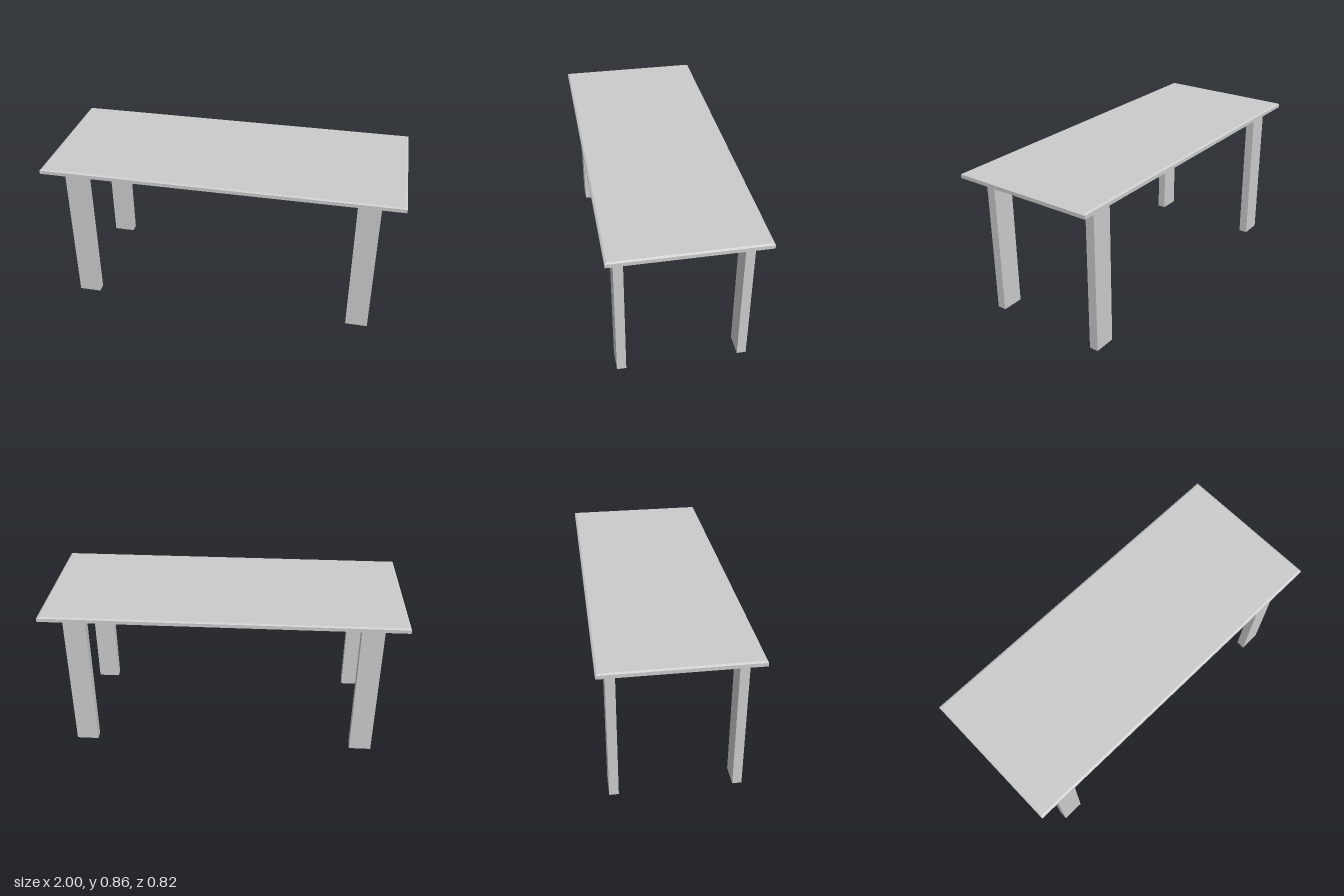
import * as THREE from 'three';

const LENGTH = 2, DEPTH = 0.82, HEIGHT = 0.858;
const TOP_BOTTOM = 0.832, CHAMFER_Y = 0.852, CHAMFER = 0.01;

// Slab whose upper edge is chamfered all round
function chamferedSlab() {
  const thickness = HEIGHT - TOP_BOTTOM;
  const geometry = new THREE.BoxGeometry(LENGTH, thickness, DEPTH, 1, 2, 1);
  const p = geometry.attributes.position;
  for (let i = 0; i < p.count; i++) {
    const y = p.getY(i);
    if (Math.abs(y) < 1e-5) {
      p.setY(i, CHAMFER_Y - TOP_BOTTOM - thickness / 2);
    } else if (y > 0) {
      p.setX(i, p.getX(i) - Math.sign(p.getX(i)) * CHAMFER);
      p.setZ(i, p.getZ(i) - Math.sign(p.getZ(i)) * CHAMFER);
    }
  }
  const flat = geometry.toNonIndexed();
  flat.computeVertexNormals();
  return flat;
}

export function createModel() {
  const table = new THREE.Group();
  table.name = 'table';
  const material = new THREE.MeshStandardMaterial({ color: 0xcccccc, flatShading: true });

  // Table top
  const top = new THREE.Mesh(chamferedSlab(), material);
  top.name = 'tableTop';
  top.position.y = (HEIGHT + TOP_BOTTOM) / 2;
  table.add(top);

  // Four flat rectangular legs, broad side to the front
  const legGeometry = new THREE.BoxGeometry(0.125, TOP_BOTTOM, 0.051);
  for (const [zName, z] of [['front', 1], ['back', -1]]) {
    for (const [xName, x] of [['Left', 1], ['Right', -1]]) {
      const leg = new THREE.Mesh(legGeometry, material);
      leg.name = `${zName}${xName}Leg`;
      leg.position.set(x * 0.8125, TOP_BOTTOM / 2, z * 0.334);
      table.add(leg);
    }
  }
  return table;
}
